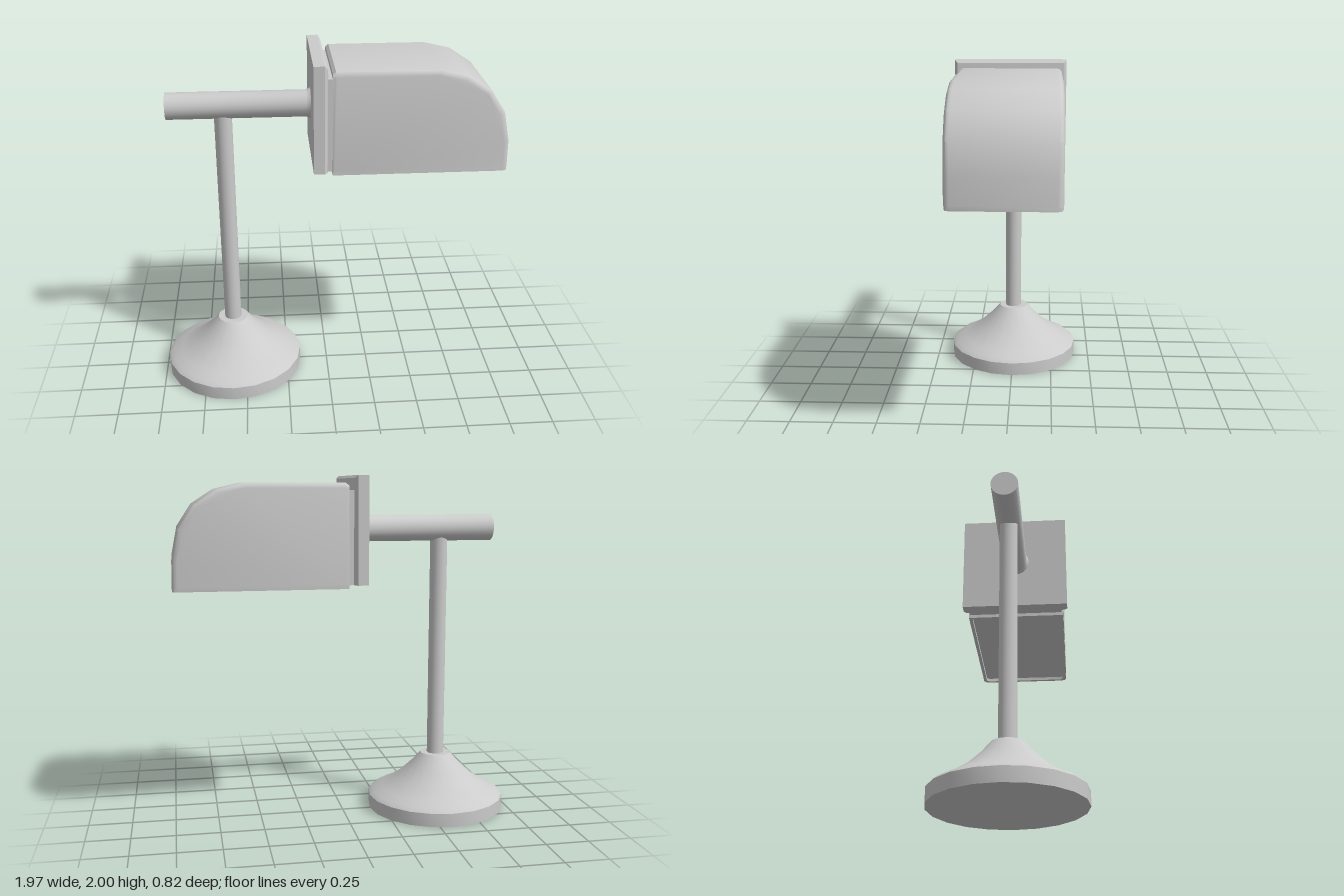
import * as THREE from 'three';
import { toCreasedNormals } from 'three/addons/utils/BufferGeometryUtils.js';

const material = new THREE.MeshStandardMaterial({ color: 0xcccccc });
const v2 = (points) => points.map(([x, y]) => new THREE.Vector2(x, y));

// Move every vertex of a geometry by a rule
function reshape(geometry, rule) {
  const pos = geometry.attributes.position;
  const p = new THREE.Vector3();
  for (let i = 0; i < pos.count; i++) {
    rule(p.fromBufferAttribute(pos, i));
    pos.setXYZ(i, p.x, p.y, p.z);
  }
  return geometry;
}

export function createModel() {
  const model = new THREE.Group();
  const add = (name, geometry, crease = 0.6) => {
    const mesh = new THREE.Mesh(toCreasedNormals(geometry, crease), material);
    mesh.name = name;
    model.add(mesh);
    return mesh;
  };

  // Flared round base and upright post
  const base = add('base', new THREE.LatheGeometry(v2([
    [0, 0], [0.408, 0], [0.408, 0.08], [0.385, 0.1], [0.33, 0.125],
    [0.23, 0.19], [0.14, 0.275], [0.09, 0.335], [0, 0.335],
  ]), 20), 0.8);
  base.position.x = -0.577;

  const post = add('post', new THREE.CylinderGeometry(0.05, 0.05, 1.36, 20));
  post.position.set(-0.577, 1.0, 0);

  // Horizontal arm with a small fillet where it meets the plate
  const arm = add('arm', new THREE.LatheGeometry(v2([
    [0, -0.89], [0.075, -0.89], [0.075, -0.115], [0.08, -0.1], [0.09, -0.085], [0, -0.085],
  ]), 20));
  arm.rotation.z = -Math.PI / 2;
  arm.position.y = 1.7;

  // Mounting plate, its front edges softened on the top and sides
  const steps = [[-0.09, 0], [-0.03, 0], [-0.016, 0.015], [-0.008, 0.07]];
  add('mountingPlate', reshape(new THREE.BoxGeometry(3, 1, 1, 3, 1, 1), (p) => {
    const [x, inset] = steps[Math.round(p.x + 1.5)];
    p.set(x, 1.4 + (p.y + 0.5) * (0.6 - inset), p.z * 2 * (0.315 - inset));
  }));

  // Gasket between plate and lamp head
  const gasket = add('gasket', new THREE.BoxGeometry(0.04, 0.52, 0.56));
  gasket.position.set(0, 1.66, 0);

  // Lamp head: curved side outline with rounded side edges, cut flat below and behind
  const bevel = 0.03;
  const outline = new THREE.Shape(v2([
    [-0.005, 1.36], [0.98, 1.36], [0.978, 1.545], [0.945, 1.71], [0.86, 1.84],
    [0.73, 1.925], [0.58, 1.96], [0.03, 1.96], [-0.005, 1.945],
  ]));
  const head = new THREE.ExtrudeGeometry(outline, {
    depth: 0.58 - 2 * bevel, bevelEnabled: true, bevelThickness: bevel,
    bevelSize: bevel, bevelOffset: -bevel, bevelSegments: 3,
  });
  head.translate(0, 0, bevel - 0.29);
  add('lampHead', reshape(head, (p) => {
    p.x = Math.max(p.x, 0.014);
    p.y = Math.max(p.y, 1.4);
  }));

  // Thin rim around the recessed underside
  const loop = (x0, x1, z, c) => v2([
    [x0, -z], [x1 - c, -z], [x1 - c * 0.3, -z + c * 0.3], [x1, -z + c],
    [x1, z - c], [x1 - c * 0.3, z - c * 0.3], [x1 - c, z], [x0, z],
  ]);
  const rimShape = new THREE.Shape(loop(0.014, 0.98, 0.288, 0.03));
  rimShape.holes.push(new THREE.Path(loop(0.034, 0.96, 0.268, 0.02)));
  const rim = add('lampRim', new THREE.ExtrudeGeometry(rimShape, { depth: 0.022, bevelEnabled: false }));
  rim.rotation.x = -Math.PI / 2;
  rim.position.y = 1.38;

  return model;
}
